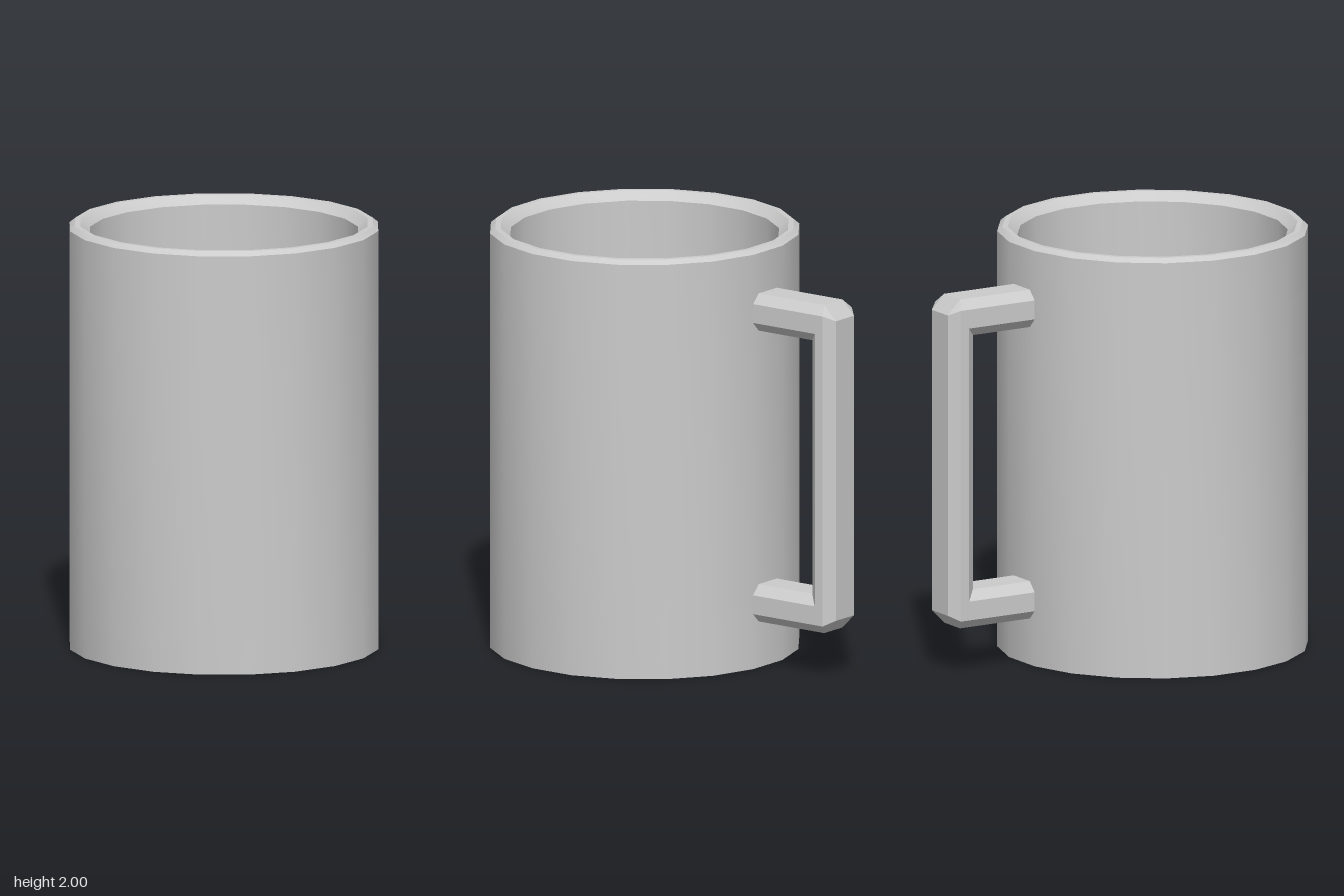
import * as THREE from 'three';
import { toCreasedNormals } from 'three/addons/utils/BufferGeometryUtils.js';

const SIDES = 20;
const CENTRE_Z = 0.2175;
const grey = new THREE.MeshStandardMaterial({ color: 0xcccccc });
const greyFlat = new THREE.MeshStandardMaterial({ color: 0xcccccc, flatShading: true });

// Hollow cup turned from one closed profile: base, wall, bevelled rim, inside, floor
function createCup() {
  const profile = [
    [0, 0], [0.725, 0], [0.725, 1.98], [0.7, 2],
    [0.675, 2], [0.63, 1.96], [0.63, 0.1], [0, 0.1],
  ].map(([r, y]) => new THREE.Vector2(r, y));
  const cup = new THREE.Mesh(toCreasedNormals(new THREE.LatheGeometry(profile, SIDES), 0.6), grey);
  cup.name = 'cup';
  return cup;
}

// Bevelled bracket handle: eight edge lines, each followed through six stations
function createHandle() {
  const root = 0.69, midY = 1.004;
  const rail = (near, far) => {
    const upper = [[root, near[1]], near, far];
    const lower = upper.map(([s, y]) => [s, 2 * midY - y]).reverse();
    return [...upper, ...lower];
  };
  const outer = rail([1.098, 1.788], [1.165, 1.72]);
  const midOuter = rail([1.12, 1.745], [1.12, 1.745]);
  const midInner = rail([1.075, 1.655], [1.075, 1.655]);
  const inner = rail([1.028, 1.61], [1.028, 1.61]);
  const flat = 0.07, full = 0.113;
  const ring = [
    [outer, -flat], [outer, flat], [midOuter, full], [midInner, full],
    [inner, flat], [inner, -flat], [midInner, -full], [midOuter, -full],
  ];
  const point = (i, j) => {
    const [line, x] = ring[j % ring.length];
    return new THREE.Vector3(x, line[i][1], -line[i][0]);
  };

  const points = [];
  const addTriangle = (a, b, c) => {
    if (new THREE.Triangle(a, b, c).getArea() > 1e-8) points.push(a, b, c);
  };
  for (let i = 0; i < outer.length - 1; i++) {
    for (let j = 0; j < ring.length; j++) {
      const a = point(i, j), b = point(i, j + 1);
      const c = point(i + 1, j), d = point(i + 1, j + 1);
      addTriangle(a, b, c);
      addTriangle(b, d, c);
    }
  }
  const geometry = new THREE.BufferGeometry().setFromPoints(points);
  geometry.computeVertexNormals();
  const handle = new THREE.Mesh(geometry, greyFlat);
  handle.name = 'handle';
  handle.rotation.y = Math.PI / SIDES; // square to one wall panel
  return handle;
}

export function createModel() {
  const mug = new THREE.Group();
  mug.name = 'mug';
  mug.add(createCup(), createHandle());
  mug.children.forEach((part) => { part.position.z = CENTRE_Z; });
  return mug;
}
